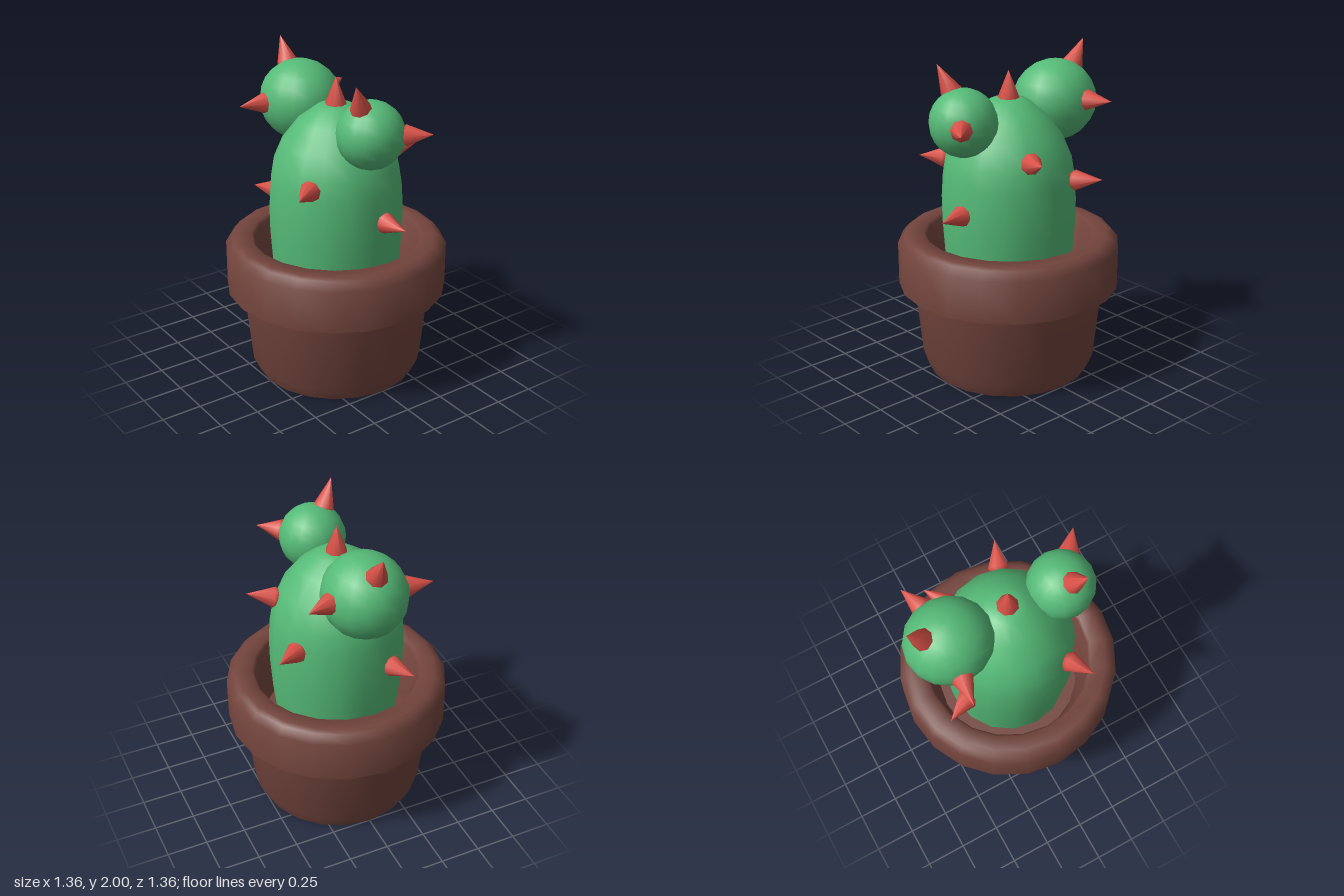
import * as THREE from 'three';
import { toCreasedNormals } from 'three/addons/utils/BufferGeometryUtils.js';

const vec = (p) => new THREE.Vector3(...p);
const lathe = (pts, sides) =>
  new THREE.LatheGeometry(pts.map(([r, y]) => new THREE.Vector2(r, y)), sides);

export function createModel() {
  const group = new THREE.Group();
  const mat = (name, color) => {
    const m = new THREE.MeshStandardMaterial({ color });
    m.name = name;
    return m;
  };
  const clay = mat('clay brown', 0x72443c);
  const green = mat('cactus green', 0x55ba77);
  const red = mat('spike red', 0xdb5248);

  const add = (name, geometry, material, pos = [0, 0, 0]) => {
    const mesh = new THREE.Mesh(geometry, material);
    mesh.name = name;
    mesh.position.set(...pos);
    group.add(mesh);
    return mesh;
  };

  // Pot: outer wall, thick rim, sloping inner wall and floor
  const pot = lathe([
    [0, 0], [0.5, 0], [0.54, 0.09], [0.585, 0.535], [0.68, 0.56], [0.68, 0.825],
    [0.64, 0.873], [0.61, 0.885], [0.52, 0.885], [0.505, 0.865], [0.44, 0.55], [0, 0.55],
  ], 20);
  add('pot', toCreasedNormals(pot, 1.1), clay);

  // Rounded main stem
  add('stem', lathe([
    [0.37, 0.52], [0.395, 0.75], [0.408, 0.95], [0.41, 1.1], [0.4, 1.25], [0.38, 1.37],
    [0.325, 1.5], [0.225, 1.63], [0.115, 1.71], [0.06, 1.722], [0, 1.725],
  ], 16), green);

  // Two round buds
  add('rightBud', new THREE.SphereGeometry(0.25, 16, 12), green, [-0.375, 1.65, 0])
    .scale.set(1.055, 1, 1);
  add('leftBud', new THREE.SphereGeometry(0.203, 16, 12), green, [0.345, 1.63, 0]);

  // Spikes: eight-sided cones with a bevelled foot, each from base to tip
  const spike = lathe([[0, 0], [0.037, 0], [0.065, 0.035], [0, 0.2]], 8);
  const addSpike = (name, base, tip) => {
    const dir = vec(tip).sub(vec(base));
    const mesh = add(name, spike, red, base);
    mesh.scale.y = dir.length() / 0.2;
    mesh.quaternion.setFromUnitVectors(new THREE.Vector3(0, 1, 0), dir.normalize());
  };
  addSpike('topSpike', [0, 1.69, 0], [0, 1.89, 0]);

  // Stem spikes point straight out from the axis: tip x, height, tip z, tilt
  [
    [-0.525, 1.09, 0.26, 0], [0.58, 1.09, -0.085, 0], [0.315, 1.32, 0.475, 0],
    [0.185, 1.45, -0.5, 0.04], [-0.305, 1.265, -0.495, 0.02],
  ].forEach(([x, y, z, tilt]) => {
    const k = 1 - 0.2 / Math.hypot(x, z);
    addSpike('stemSpike', [x * k, y - tilt, z * k], [x, y, z]);
  });

  // Bud spikes
  [
    [[-0.41, 1.66, 0.205], [-0.43, 1.66, 0.405]],
    [[-0.505, 1.82, 0], [-0.605, 2.0, -0.005]],
    [[-0.41, 1.68, -0.2], [-0.475, 1.69, -0.385]],
    [[0.355, 1.77, 0.07], [0.412, 1.96, 0.155]],
    [[0.46, 1.635, -0.125], [0.58, 1.645, -0.27]],
  ].forEach(([base, tip]) => addSpike('budSpike', base, tip));

  return group;
}
